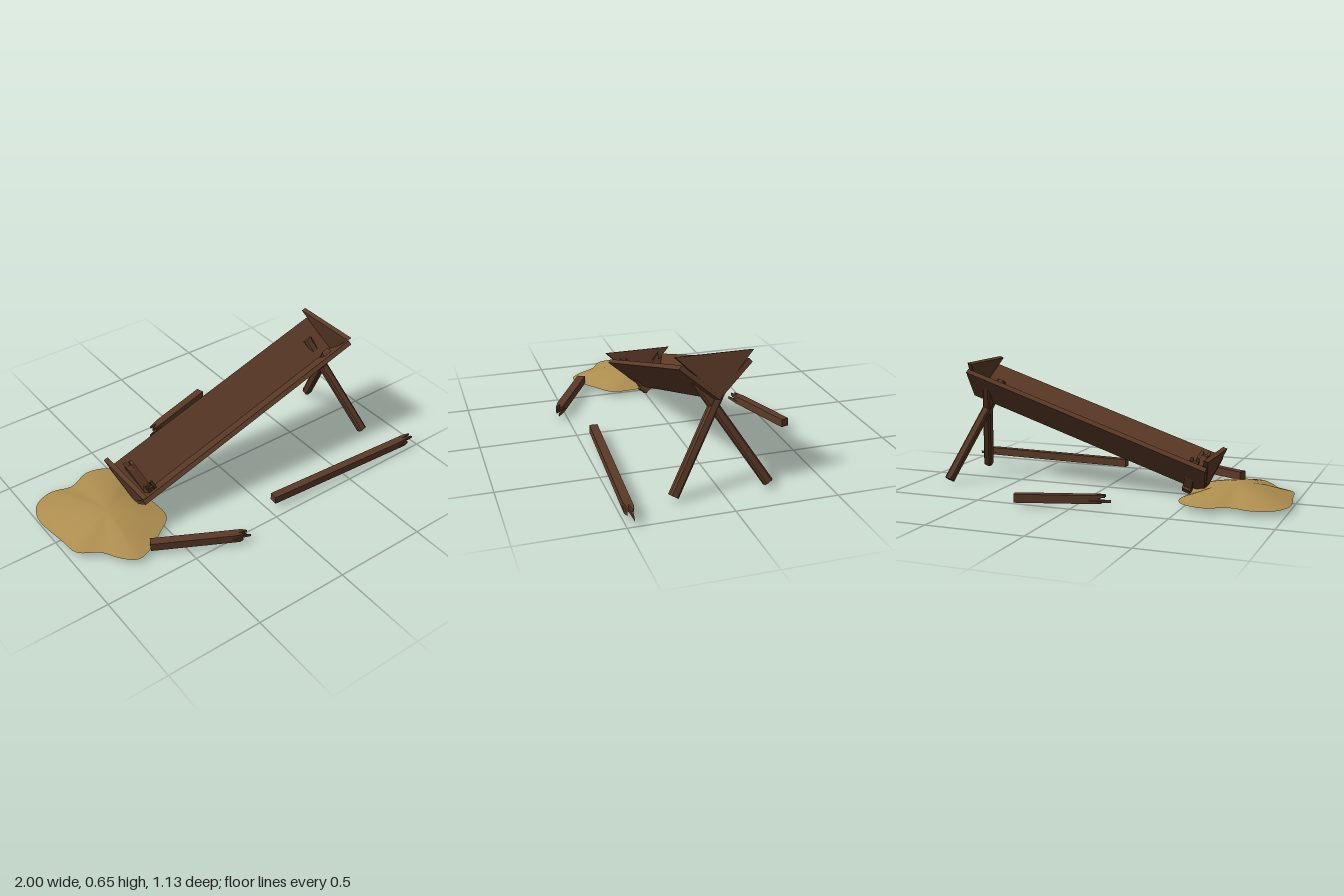
import * as THREE from 'three';

const wood = new THREE.MeshStandardMaterial({ color: 0x5c3a27 });
wood.name = 'darkWood';
const sand = new THREE.MeshStandardMaterial({ color: 0xb08f50 });
sand.name = 'sand';

const TILT = 0.32; // slope of the trough

function add(parent, geometry, material, name) {
  const mesh = new THREE.Mesh(geometry, material);
  mesh.name = name;
  parent.add(mesh);
  return mesh;
}

function polygon(points) {
  return new THREE.Shape(points.map(([x, y]) => new THREE.Vector2(x, y)));
}

function extrude(points, depth) {
  return new THREE.ExtrudeGeometry(polygon(points), { depth, bevelEnabled: false });
}

// Places an object so that its +z runs from a to b
function aim(object, a, b, up) {
  object.up.set(...up);
  object.position.set(...a);
  object.lookAt(new THREE.Vector3(...b));
}

// Square post with chamfered edges
function post(parent, name, a, b, size, up) {
  const h = size / 2, c = size * 0.2, k = h - c;
  const length = new THREE.Vector3(...a).distanceTo(new THREE.Vector3(...b));
  const section = [[-k, -h], [k, -h], [h, -k], [h, k], [k, h], [-k, h], [-h, k], [-h, -k]];
  aim(add(parent, extrude(section, length), wood, name), a, b, up);
}

// Beam in three layers, each snapped off at b with different splinters
function brokenBeam(parent, name, a, b, width, height, jag, up = [0, 1, 0]) {
  const group = new THREE.Group();
  group.name = name;
  const L = new THREE.Vector3(...a).distanceTo(new THREE.Vector3(...b));
  const w = width / 2;
  const splinters = [
    [0.55, 0.8, 0.35, 0.75, 0.1],
    [0.1, 0.55, 0.3, 0.5, 0.0],
    [0.3, 1.0, 0.2, 0.6, 0.4],
  ];
  splinters.forEach((teeth, i) => {
    const end = teeth.map((t, j) => [w - (j * width) / 4, L - jag * (1 - t)]);
    const layer = extrude([[-w, 0], [w, 0], ...end], height / 3);
    layer.rotateX(Math.PI / 2);
    layer.translate(0, height / 2 - (i * height) / 3, 0);
    add(group, layer, wood, name + 'Layer');
  });
  aim(group, a, b, up);
  parent.add(group);
}

// Tilted V-shaped trough with a triangular board at each end
function buildTrough() {
  const trough = new THREE.Group();
  trough.name = 'trough';
  const start = -0.497, length = 1.385, plate = 0.024;
  for (const s of [1, -1]) {
    const side = [[0, 0.187], [0.175 * s, 0.342], [0.159 * s, 0.36], [0, 0.218]];
    const board = extrude(s > 0 ? side : side.reverse(), length);
    board.rotateY(Math.PI / 2);
    board.translate(start, 0, 0);
    add(trough, board, wood, s > 0 ? 'leftTroughBoard' : 'rightTroughBoard');
  }
  for (const [u, name] of [[start - 0.002, 'lowEndBoard'], [start + length - plate + 0.001, 'highEndBoard']]) {
    const end = extrude([[0, 0.207], [0.187, 0.398], [-0.187, 0.398]], plate);
    end.rotateY(Math.PI / 2);
    end.translate(u, 0, 0);
    add(trough, end, wood, name);
  }
  trough.rotation.z = TILT;
  trough.position.z = 0.0075;
  return trough;
}

// Low sand heap: rings shrinking from a wavy outline to a peak
function buildSand() {
  const group = new THREE.Group();
  group.name = 'sandPile';
  const outline = [
    [-1, -0.18], [-0.95, -0.28], [-0.85, -0.32], [-0.74, -0.295], [-0.62, -0.345], [-0.505, -0.305],
    [-0.463, -0.21], [-0.48, -0.08], [-0.46, 0.06], [-0.465, 0.19], [-0.56, 0.27], [-0.665, 0.34],
    [-0.745, 0.36], [-0.815, 0.295], [-0.865, 0.215], [-0.96, 0.145], [-0.98, 0.03],
  ].map(([x, z]) => new THREE.Vector3(x, 0, z));
  const N = 68, base = 0.033, cx = -0.71, cz = 0.02;
  const edge = new THREE.CatmullRomCurve3(outline, true).getPoints(N).slice(0, N);
  const rings = [[1, 0], [0.8, 0.014], [0.55, 0.034], [0.3, 0.047], [0.12, 0.052]];
  const pos = [], index = [];
  for (const [f, h] of rings) {
    for (const p of edge) pos.push(cx + (p.x - cx) * f, base + h, cz + (p.z - cz) * f);
  }
  pos.push(cx, base + 0.053, cz);
  const peak = rings.length * N;
  for (let r = 0; r < rings.length; r++) {
    for (let i = 0; i < N; i++) {
      const j = (i + 1) % N, a = r * N + i, b = r * N + j;
      if (r === rings.length - 1) index.push(a, peak, b);
      else index.push(a, a + N, b, b, a + N, b + N);
    }
  }
  const top = new THREE.BufferGeometry();
  top.setAttribute('position', new THREE.Float32BufferAttribute(pos, 3));
  top.setIndex(index);
  top.computeVertexNormals();
  add(group, top, sand, 'sandHeap');

  const under = new THREE.ShapeGeometry(polygon(edge.map((p) => [p.x, p.z])));
  under.rotateX(Math.PI / 2);
  under.translate(0, base, 0);
  add(group, under, sand, 'sandUnderside');
  return group;
}

export function createModel() {
  const model = new THREE.Group();
  model.name = 'brokenTrough';
  model.add(buildTrough(), buildSand());

  // Crossed legs: a whole pair at the high end, a snapped pair at the low end
  const legUp = [1, 0.33, 0];
  for (const s of [1, -1]) {
    const side = s > 0 ? 'left' : 'right';
    const z = (v) => 0.005 + v * s;
    post(model, side + 'HighLeg', [0.822 + 0.004 * s, 0.03, z(0.232)], [0.655, 0.53, z(-0.085)], 0.046, legUp);
    brokenBeam(model, side + 'SnappedLeg', [-0.438, 0.027, z(0.015)], [-0.51, 0.222, z(-0.115)], 0.046, 0.046, 0.07, legUp);
  }

  // Broken beams lying on the ground
  brokenBeam(model, 'backBeam', [0.27, 0.054, -0.553], [-0.18, 0.054, -0.415], 0.042, 0.042, 0.11);
  brokenBeam(model, 'longFrontBeam', [0.04, 0.054, 0.42], [0.995, 0.054, 0.475], 0.042, 0.042, 0.13);
  brokenBeam(model, 'shortFrontBeam', [-0.653, 0.054, 0.328], [-0.212, 0.054, 0.562], 0.044, 0.044, 0.1);
  return model;
}
